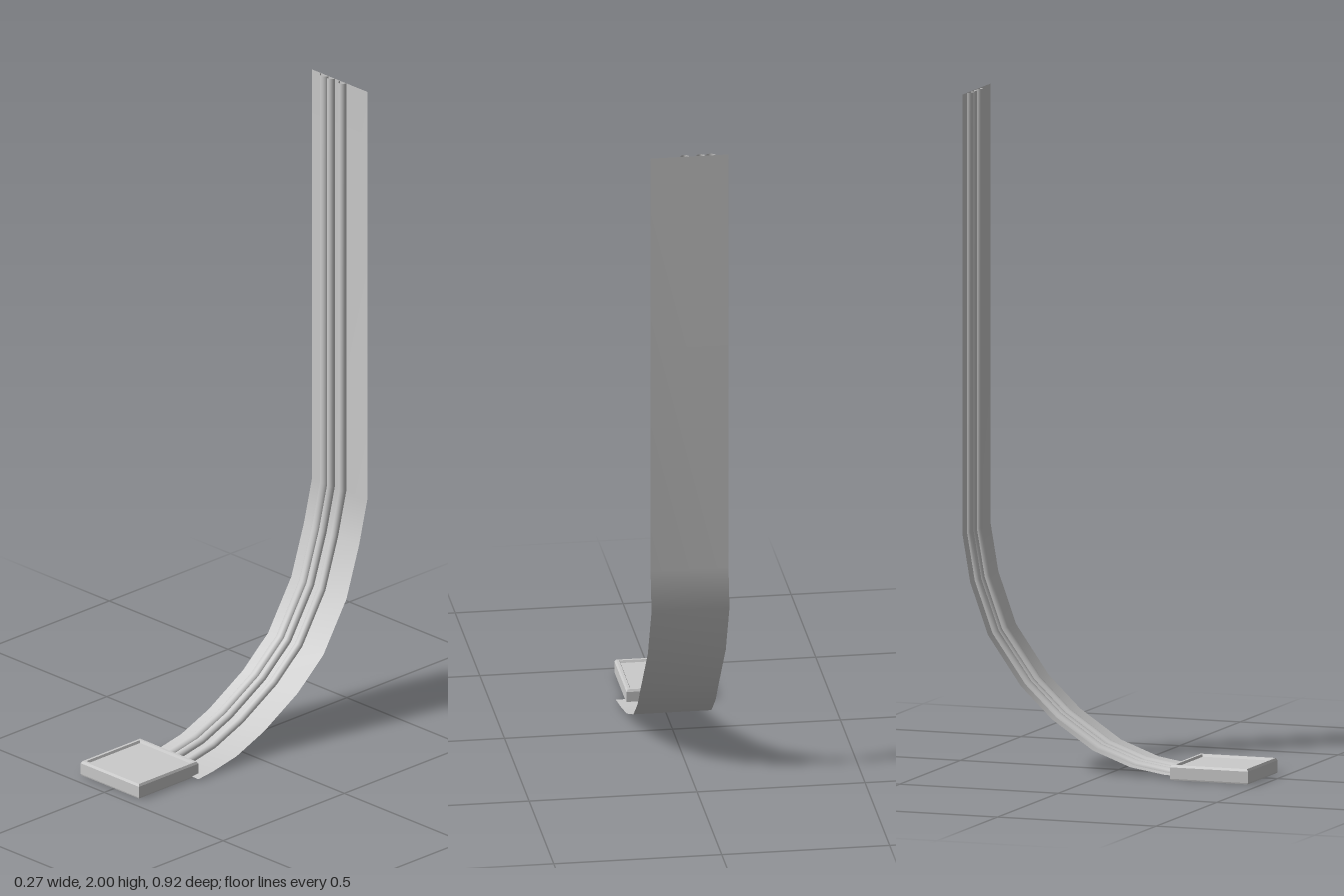
import * as THREE from 'three';

// Path of the strap, top to bottom: [sideways drift, y, z]
const PATH = [
  [0, 2, -0.455], [0, 0.69, -0.455], [-0.007, 0.55, -0.428], [-0.004, 0.395, -0.373],
  [0.002, 0.248, -0.272], [-0.003, 0.155, -0.172], [-0.01, 0.07, -0.04],
  [-0.007, 0.026, 0.077], [-0.003, 0.009, 0.18], [0.001, 0.005, 0.242],
];

// Sweep a cross-section of [across, outward] points along the path
function sweep(section, path) {
  const pos = [], idx = [], n = section.length;
  path.forEach(([dx, y, z], i) => {
    const a = path[Math.max(i - 1, 0)], b = path[Math.min(i + 1, path.length - 1)];
    let ty = b[1] - a[1], tz = b[2] - a[2];
    if (i === 1) { ty = -1; tz = 0.1; }
    const len = Math.hypot(ty, tz);
    for (const [u, v] of section) pos.push(u + dx, y + v * tz / len, z - v * ty / len);
  });
  for (let i = 0; i < path.length - 1; i++) {
    for (let j = 0; j < n - 1; j++) {
      const a = i * n + j, b = a + 1, c = a + n, d = c + 1;
      idx.push(a, c, b, b, c, d);
    }
  }
  const g = new THREE.BufferGeometry();
  g.setAttribute('position', new THREE.Float32BufferAttribute(pos, 3));
  g.setIndex(idx);
  g.computeVertexNormals();
  return g;
}

export function createModel() {
  const model = new THREE.Group();
  const thin = new THREE.MeshStandardMaterial({ color: 0xcccccc, side: THREE.DoubleSide });
  const flat = new THREE.MeshStandardMaterial({ color: 0xcccccc, flatShading: true });
  const add = (name, geometry, material) => {
    const mesh = new THREE.Mesh(geometry, material);
    mesh.name = name;
    model.add(mesh);
    return mesh;
  };

  // Flat hanging strip
  add('strip', sweep([[-0.1, 0], [0.132, 0]], PATH), thin);

  // Three half-round ridges on the front of the strip
  [[-0.047, 0.0155], [-0.018, 0.0135], [0.03, 0.0135]].forEach(([x, r], i) => {
    const arc = [];
    for (let k = 0; k <= 10; k++) {
      const t = Math.PI * (1 - k / 10);
      arc.push([x + r * Math.cos(t), 0.014 * Math.sin(t)]);
    }
    add('ridge' + (i + 1), sweep(arc, PATH), thin);
  });

  // Square frame at the foot: a four-sided lathe of a closed wall profile
  const profile = [
    [0.1215, 0], [0.1225, 0.004], [0.1225, 0.038], [0.1185, 0.045], [0.1105, 0.045],
    [0.1065, 0.037], [0.1065, 0.032], [0.118, 0], [0.1215, 0],
  ].map(([r, y]) => new THREE.Vector2(r * Math.SQRT2, y));
  const frame = add('frame', new THREE.LatheGeometry(profile, 4, Math.PI / 4), flat);
  frame.position.set(-0.0175, 0, 0.3375);

  // Panel set just under the rim, open below
  const panel = add('panel', new THREE.BoxGeometry(0.215, 0.005, 0.215), flat);
  panel.position.set(-0.0175, 0.0355, 0.3375);

  return model;
}
